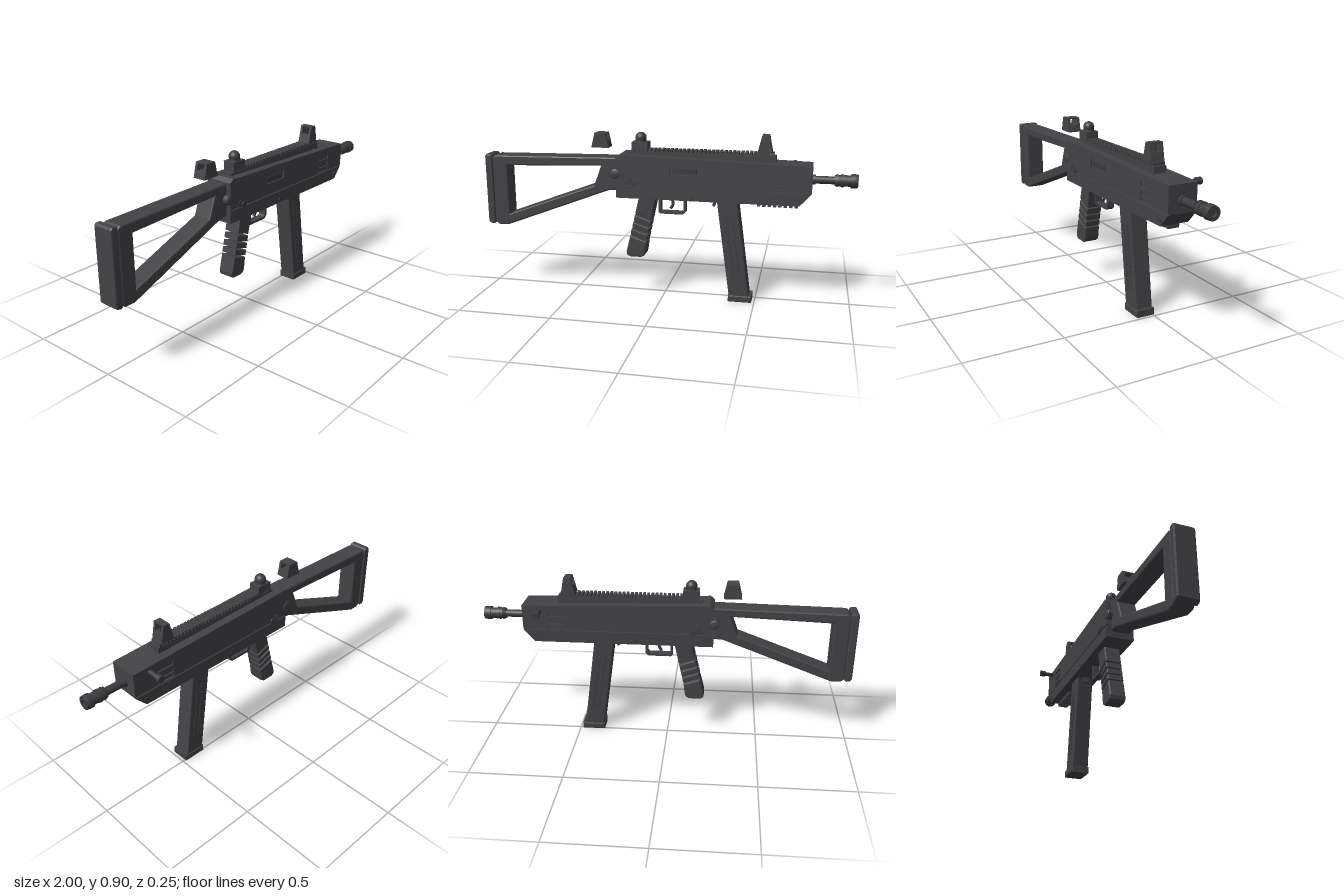
import * as THREE from 'three';

export function createModel() {
  const root = new THREE.Group();
  const gun = new THREE.Group();
  gun.name = 'gun';
  gun.position.z = 0.04;
  root.add(gun);

  const polymer = new THREE.MeshStandardMaterial({ color: 0x434347 });
  polymer.name = 'dark grey polymer';
  const steel = new THREE.MeshStandardMaterial({ color: 0x3c3c40 });
  steel.name = 'gunmetal';

  const add = (name, geo, mat = polymer, x = 0, y = 0, z = 0) => {
    const m = new THREE.Mesh(geo, mat);
    m.name = name;
    m.position.set(x, y, z);
    gun.add(m);
    return m;
  };
  // Box given by its x and y ranges, depth and centre z
  const box = (name, x0, x1, y0, y1, d, z = 0, mat = polymer) =>
    add(name, new THREE.BoxGeometry(x1 - x0, y1 - y0, d), mat, (x0 + x1) / 2, (y0 + y1) / 2, z);
  const rect = (x0, x1, y0, y1) => [[x0, y0], [x1, y0], [x1, y1], [x0, y1]];
  const vecs = (pts) => pts.map(([x, y]) => new THREE.Vector2(x, y));
  // Side outline extruded evenly about centre z, with optional holes and bevel
  const slab = (name, pts, depth, { z = 0, holes = [], bevel = 0, mat = polymer } = {}) => {
    const shape = new THREE.Shape(vecs(pts));
    holes.forEach((h) => shape.holes.push(new THREE.Path(vecs(h))));
    const geo = new THREE.ExtrudeGeometry(shape, {
      depth: depth - 2 * bevel, bevelEnabled: bevel > 0, bevelThickness: bevel,
      bevelSize: bevel, bevelOffset: -bevel, bevelSegments: 2,
    });
    geo.translate(0, 0, -depth / 2 + bevel);
    return add(name, geo, mat, 0, 0, z);
  };
  const rodX = (name, x0, x1, r0, r1, y, mat = steel) => {
    const geo = new THREE.CylinderGeometry(r1, r0, x1 - x0, 24);
    geo.rotateZ(-Math.PI / 2);
    return add(name, geo, mat, (x0 + x1) / 2, y, 0);
  };
  const rodZ = (name, x, y, r, len, z = 0, mat = steel) => {
    const geo = new THREE.CylinderGeometry(r, r, len, 20);
    geo.rotateX(Math.PI / 2);
    return add(name, geo, mat, x, y, z);
  };

  // Receiver: solid core with cut side skins that leave vents, port and seam recessed
  const upper = [[-0.247, 0.626], [0.775, 0.626], [0.775, 0.757], [-0.187, 0.783], [-0.225, 0.787], [-0.247, 0.768]];
  const lower = [[-0.247, 0.553], [0.715, 0.553], [0.775, 0.62], [-0.247, 0.62]];
  slab('receiverCore', [...lower.slice(0, 3), ...upper.slice(2)], 0.138);
  const vents = [0.7, 0.658, 0.632].map((y, i) => rect(0.543, 0.636, [0.698, 0.656, 0.63][i], y + 0.022 - (i === 2 ? 0.008 : 0)));
  const port = rect(0.045, 0.2, 0.687, 0.735);
  for (const s of [1, -1]) {
    slab('upperReceiverSkin', upper, 0.008, { z: s * 0.073, holes: s > 0 ? [...vents, port] : vents });
    slab('lowerReceiverSkin', lower, 0.008, { z: s * 0.073 });
    rodZ('screw', 0.715, 0.585, 0.011, 0.006, s * 0.078);
    rodZ('screw', 0.165, 0.572, 0.009, 0.006, s * 0.078);
    rodZ('screw', -0.17, 0.65, 0.009, 0.006, s * 0.078);
    // Selector lever
    rodZ('selectorPivot', -0.143, 0.632, 0.016, 0.01, s * 0.078);
    const lever = box('selectorLever', -0.193, -0.143, 0.627, 0.638, 0.006, s * 0.079, steel);
    lever.rotation.z = -0.12;
  }
  box('bolt', 0.06, 0.187, 0.697, 0.722, 0.004, 0.071, steel);

  // Hinge at the rear of the receiver
  rodZ('stockHinge', -0.25, 0.681, 0.027, 0.15, 0, polymer);
  for (const s of [1, -1]) {
    const cap = new THREE.SphereGeometry(0.027, 24, 12);
    cap.scale(1, 1, 0.32);
    add('hingeCap', cap, polymer, -0.25, 0.681, s * 0.074);
  }

  // Skeleton stock and butt plate
  slab('stock', [
    [-0.957, 0.375], [-0.94, 0.36], [-0.885, 0.36], [-0.297, 0.584], [-0.245, 0.588],
    [-0.245, 0.765], [-0.94, 0.753], [-0.957, 0.74],
  ], 0.104, {
    bevel: 0.008,
    holes: [[[-0.872, 0.424], [-0.375, 0.61], [-0.335, 0.718], [-0.872, 0.698]]],
  });
  slab('buttPlate', [
    [-0.998, 0.378], [-0.988, 0.366], [-0.968, 0.363], [-0.957, 0.372],
    [-0.957, 0.75], [-0.966, 0.758], [-0.99, 0.758], [-0.998, 0.748],
  ], 0.112, { bevel: 0.007 });

  // Barrel and muzzle
  rodX('barrel', 0.76, 0.89, 0.02, 0.02, 0.68);
  rodX('barrelCollar', 0.775, 0.79, 0.026, 0.026, 0.68);
  rodX('muzzleRear', 0.885, 0.9, 0.028, 0.033, 0.68);
  rodX('muzzleBody', 0.9, 0.97, 0.029, 0.029, 0.68);
  rodX('muzzleRing', 0.915, 0.93, 0.033, 0.033, 0.68);
  rodX('muzzleTip', 0.965, 0.985, 0.036, 0.036, 0.68);
  const lip = new THREE.RingGeometry(0.017, 0.034, 24);
  lip.rotateY(Math.PI / 2);
  add('muzzleLip', lip, steel, 1.0, 0.68, 0);
  const openTube = (name, r0, r1, inside) => {
    const g = new THREE.CylinderGeometry(r1, r0, 0.015, 24, 1, true);
    g.rotateZ(-Math.PI / 2);
    if (inside) { g.index.array.reverse(); g.attributes.normal.array.forEach((v, i, a) => { a[i] = -v; }); }
    add(name, g, steel, 0.9925, 0.68, 0);
  };
  openTube('muzzleRim', 0.036, 0.034, false);
  openTube('muzzleBore', 0.017, 0.017, true);

  // Cocking handle on the far side
  rodZ('cockingHandle', 0.68, 0.73, 0.012, 0.07, -0.105);
  rodZ('cockingKnob', 0.68, 0.73, 0.018, 0.03, -0.148);

  // Top rail with teeth
  box('topRail', -0.187, 0.588, 0.755, 0.797, 0.066);
  for (let i = 0; i < 34; i++) {
    const x = -0.16 + i * 0.0221;
    box('railTooth', x - 0.007, x + 0.007, 0.795, 0.812, 0.066);
  }

  // Lower rail under the handguard
  box('lowerRail', 0.495, 0.712, 0.541, 0.556, 0.06);
  for (let i = 0; i < 8; i++) box('lowerRailTooth', 0.498 + i * 0.0275, 0.515 + i * 0.0275, 0.531, 0.543, 0.06);

  // Sights: tapered side walls with a roof, floor and optional centre post
  const sight = (name, x0, x1, t0, t1, y0, y1, post) => {
    for (const s of [1, -1]) slab(name + 'Wall', [[x0, y0], [x1, y0], [t1, y1], [t0, y1]], 0.015, { z: s * 0.0285 });
    const k = 0.5, m0 = x0 + (t0 - x0) * k, m1 = x1 + (t1 - x1) * k, ym = y0 + (y1 - y0) * k;
    slab(name + 'Base', [[x0, y0], [x1, y0], [m1, ym], [m0, ym]], 0.043);
    box(name + 'Roof', t0, t1, y1 - 0.007, y1, 0.043);
    if (post) box(name + 'Post', t0 + 0.005, t1 - 0.005, ym - 0.01, y1 - 0.005, 0.008, 0, steel);
  };
  sight('frontSight', 0.492, 0.568, 0.514, 0.55, 0.81, 0.902, true);
  sight('stockSight', -0.39, -0.295, -0.371, -0.312, 0.812, 0.89, false);

  // Rear drum sight
  box('rearSightBase', -0.168, -0.082, 0.805, 0.848, 0.068);
  rodZ('rearSightDrumPin', -0.125, 0.862, 0.016, 0.05);
  add('rearSightNeck', new THREE.CylinderGeometry(0.026, 0.03, 0.025, 20), steel, -0.125, 0.856, 0);
  add('rearSightDrum', new THREE.SphereGeometry(0.03, 24, 16), steel, -0.125, 0.868, 0);

  // Pistol grip, sliced by slanting grooves
  const left = (y) => -0.13 - (0.553 - y) * 0.233;
  const right = (y) => -0.037 - (0.553 - y) * 0.21;
  const cutsL = [0.56, 0.462, 0.422, 0.384, 0.346];
  const cutsR = [0.56, 0.431, 0.391, 0.353, 0.315];
  for (let i = 0; i < 4; i++) {
    const a = i ? cutsL[i] - 0.008 : 0.56, b = i ? cutsR[i] - 0.008 : 0.56;
    slab('gripSegment', [
      [left(cutsL[i + 1]), cutsL[i + 1]], [right(cutsR[i + 1]), cutsR[i + 1]], [right(b), b], [left(a), a],
    ], 0.09, { bevel: 0.006 });
  }
  slab('gripBottom', [
    [left(0.338), 0.338], [-0.203, 0.245], [-0.2, 0.226], [-0.185, 0.216],
    [-0.12, 0.216], [-0.102, 0.228], [-0.096, 0.25], [right(0.307), 0.307],
  ], 0.09, { bevel: 0.008 });

  // Trigger guard, trigger and magazine catch
  slab('triggerGuard', [[-0.027, 0.47], [-0.018, 0.463], [0.105, 0.463], [0.122, 0.478], [0.122, 0.558], [-0.027, 0.558]], 0.04, {
    holes: [[[-0.014, 0.476], [0.1, 0.476], [0.109, 0.484], [0.109, 0.553], [-0.014, 0.553]]],
  });
  const curve = new THREE.CatmullRomCurve3([[0.03, 0.56], [0.046, 0.535], [0.048, 0.512], [0.036, 0.49]].map(([x, y]) => new THREE.Vector3(x, y, 0)));
  add('trigger', new THREE.TubeGeometry(curve, 12, 0.008, 8), steel);
  slab('magazineCatch', [[0.262, 0.518], [0.275, 0.515], [0.292, 0.558], [0.272, 0.558]], 0.03, { mat: steel });

  // Slanted magazine with rows of studs on both faces
  slab('magazine', [[0.364, 0.03], [0.471, 0.03], [0.397, 0.56], [0.289, 0.56]], 0.094, { bevel: 0.006 });
  slab('magazineBase', rect(0.36, 0.485, 0, 0.037), 0.104, { bevel: 0.006 });
  for (const s of [1, -1]) for (const x0 of [0.344, 0.374]) for (let i = 0; i < 18; i++) {
    const y = 0.452 - i * 0.0184, x = x0 + (0.452 - y) * 0.141;
    box('magazineStud', x - 0.005, x + 0.005, y - 0.006, y + 0.006, 0.006, s * 0.0475, steel);
  }

  return root;
}
